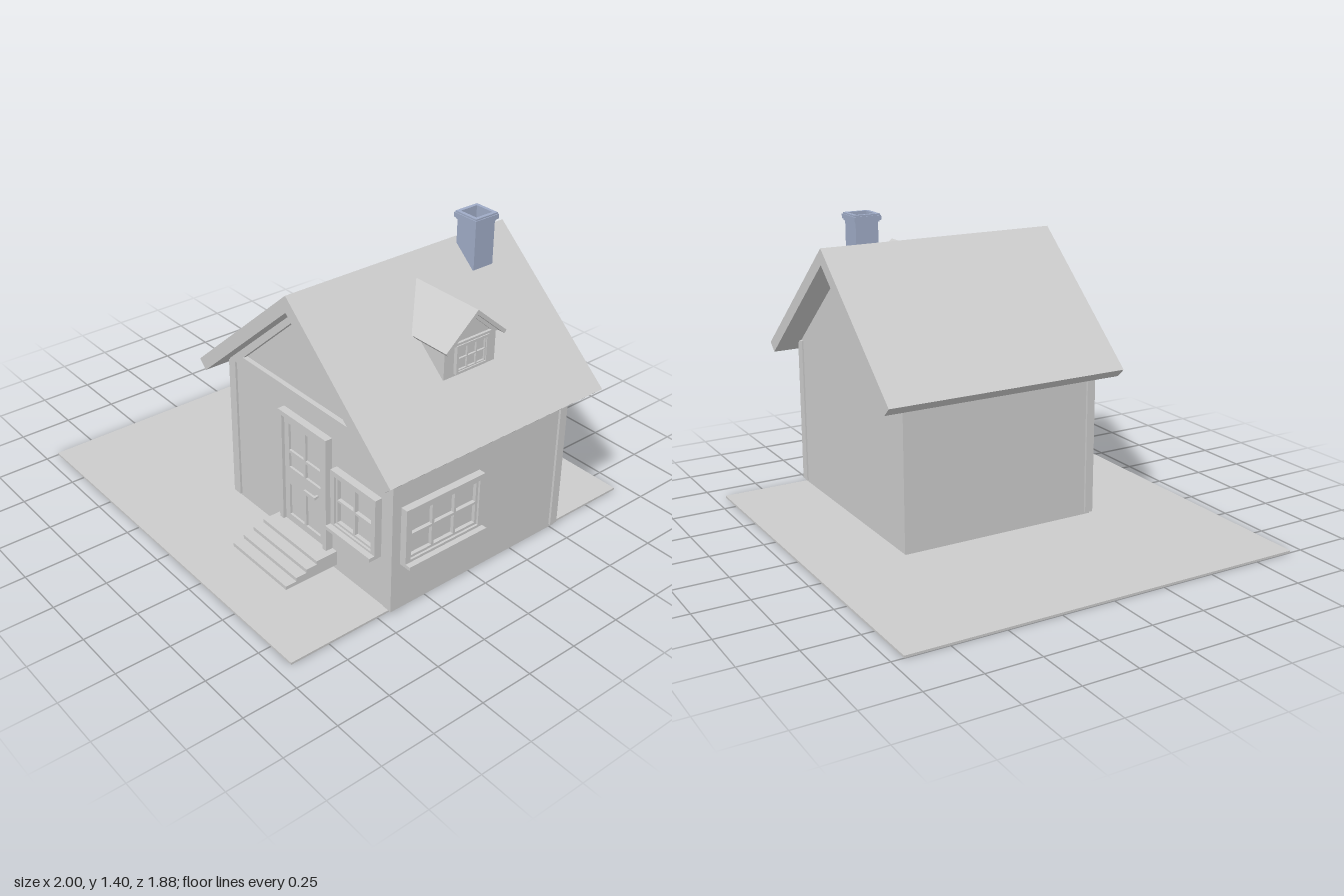
import * as THREE from 'three';

const grey = new THREE.MeshStandardMaterial({ color: 0xcccccc, flatShading: true });
const brick = new THREE.MeshStandardMaterial({ color: 0x9fabc6, flatShading: true });

function add(parent, name, geometry, material = grey) {
  const mesh = new THREE.Mesh(geometry, material);
  mesh.name = name;
  parent.add(mesh);
  return mesh;
}

// Box given by its limits on each axis
function box(parent, name, [x0, x1], [y0, y1], [z0, z1], material) {
  const g = new THREE.BoxGeometry(x1 - x0, y1 - y0, z1 - z0);
  g.translate((x0 + x1) / 2, (y0 + y1) / 2, (z0 + z1) / 2);
  return add(parent, name, g, material);
}

const toPoints = (list) => list.map(([x, y]) => new THREE.Vector2(x, y));
const rect = (x0, x1, y0, y1) => [[x0, y0], [x1, y0], [x1, y1], [x0, y1]];

// Outline with optional holes, extruded from z0 to z1
function prism(parent, name, outline, z0, z1, holes = [], material) {
  const shape = new THREE.Shape(toPoints(outline));
  for (const h of holes) shape.holes.push(new THREE.Path(toPoints(h)));
  const g = new THREE.ExtrudeGeometry(shape, { depth: z1 - z0, bevelEnabled: false });
  g.translate(0, 0, z0);
  return add(parent, name, g, material);
}

// Symmetric outline about x = cx from its right half, listed bottom to top
function mirrored(cx, half) {
  const right = half.map(([x, y]) => [cx + x, y]);
  const left = half.filter(([x]) => x > 0).map(([x, y]) => [cx - x, y]).reverse();
  return [...right, ...left];
}

// Framed window facing +z, centred on its own origin
function makeWindow(name, w, h, cols, rows, trim, depth, sill) {
  const win = new THREE.Group();
  win.name = name;
  const a = w / 2, b = h / 2, iw = a - trim, ih = b - trim;
  prism(win, 'windowFrame', rect(-a, a, -b, b), 0, depth, [rect(-iw, iw, -ih, ih)]);
  // Sash: one panel with a hole for each pane
  const bar = trim * 0.45, holes = [];
  const pw = (2 * iw - bar * (cols + 1)) / cols, ph = (2 * ih - bar * (rows + 1)) / rows;
  for (let i = 0; i < cols; i++) {
    for (let j = 0; j < rows; j++) {
      const x = -iw + bar + i * (pw + bar), y = -ih + bar + j * (ph + bar);
      holes.push(rect(x, x + pw, y, y + ph));
    }
  }
  prism(win, 'windowSash', rect(-iw, iw, -ih, ih), 0, depth * 0.7, holes);
  box(win, 'windowGlass', [-iw, iw], [-ih, ih], [-0.01, depth * 0.2]);
  if (sill) box(win, 'windowSill', [-a, a], [-b - 0.003, -b + 0.014], [0, sill]);
  return win;
}

export function createModel() {
  const house = new THREE.Group();
  house.name = 'house';
  const cx = 0.353;

  box(house, 'ground', [-1, 0.885], [0, 0.01], [-0.945, 0.94]);

  // Walls with gabled ends, and corner posts
  prism(house, 'walls', mirrored(cx, [[0.543, 0.005], [0.543, 0.74], [0, 1.215]]), -0.522, 0.44);
  for (const side of [-1, 1]) {
    for (const [z0, z1] of [[-0.53, -0.49], [0.41, 0.45]]) {
      const x = [cx + side * 0.554, cx + side * 0.507].sort((p, q) => p - q);
      box(house, 'cornerPost', x, [0.02, 0.732], [z0, z1]);
    }
  }

  // Main roof and the triangular trim of the front gable
  prism(house, 'roof', mirrored(cx, [[0, 1.2], [0.6, 0.673], [0.642, 0.713], [0, 1.275]]).filter(
    ([x, y], i, all) => all.findIndex((p) => p[0] === x && p[1] === y) === i), -0.637, 0.543);
  prism(house, 'gableTrim', mirrored(cx, [[0.53, 0.737], [0, 1.205]]), 0.43, 0.463,
    [mirrored(cx, [[0.425, 0.783], [0, 1.163]])]);

  // Door with recessed panels, frame and handle
  const door = new THREE.Group();
  door.name = 'door';
  house.add(door);
  prism(door, 'doorFrame', [[0.19, 0.1], [0.215, 0.1], [0.215, 0.638], [0.49, 0.638],
    [0.49, 0.1], [0.515, 0.1], [0.515, 0.66], [0.19, 0.66]], 0.435, 0.475);
  const panels = [];
  for (const [x0, x1] of [[0.245, 0.345], [0.36, 0.46]]) {
    for (const [y0, y1] of [[0.14, 0.3], [0.387, 0.46], [0.474, 0.605]]) panels.push(rect(x0, x1, y0, y1));
  }
  prism(door, 'doorLeaf', rect(0.215, 0.49, 0.1, 0.638), 0.435, 0.46, panels);
  box(door, 'doorPanelBack', [0.22, 0.485], [0.105, 0.63], [0.43, 0.449]);
  box(door, 'doorHandle', [0.375, 0.45], [0.334, 0.346], [0.474, 0.484]);
  box(door, 'handleStem', [0.435, 0.447], [0.335, 0.345], [0.455, 0.476]);

  // Entrance steps
  for (let i = 0; i < 4; i++) {
    const y = 0.035 + i * 0.0175;
    box(house, 'step', [0.165, 0.545], [y, y + 0.0175], [0.44, 0.71 - i * 0.054]);
  }

  // Windows of the front and the side wall
  const front = makeWindow('frontWindow', 0.285, 0.285, 2, 2, 0.024, 0.035, 0.062);
  front.position.set(0.688, 0.397, 0.44);
  const sideWin = makeWindow('sideWindow', 0.425, 0.275, 3, 2, 0.026, 0.034, 0.06);
  sideWin.position.set(0.896, 0.373, 0.183);
  sideWin.rotation.y = Math.PI / 2;
  house.add(front, sideWin);

  // Dormer, built facing +z and turned towards +x
  const dormer = new THREE.Group();
  dormer.name = 'dormer';
  dormer.position.z = -0.063;
  dormer.rotation.y = Math.PI / 2;
  house.add(dormer);
  prism(dormer, 'dormerWalls', mirrored(0, [[0.14, 0.914], [0.14, 1.06], [0, 1.18]]), 0.5, 0.77);
  prism(dormer, 'dormerRoof', [[0, 1.2], [-0.165, 1.057], [-0.155, 1.044], [0, 1.178],
    [0.155, 1.044], [0.165, 1.057]], 0.44, 0.805);
  prism(dormer, 'dormerGableTrim', mirrored(0, [[0.142, 1.055], [0, 1.18]]), 0.765, 0.782,
    [mirrored(0, [[0.105, 1.067], [0, 1.16]])]);
  const small = makeWindow('dormerWindow', 0.175, 0.13, 3, 2, 0.011, 0.018, 0);
  small.position.set(0, 0.992, 0.769);
  dormer.add(small);

  // Hollow chimney with a stepped cap, extruded upwards
  const chimney = new THREE.Group();
  chimney.name = 'chimney';
  chimney.position.set(0.43, 0, -0.399);
  chimney.rotation.x = -Math.PI / 2;
  house.add(chimney);
  const square = (r) => rect(-r, r, -r, r);
  prism(chimney, 'chimneyShaft', square(0.055), 1.165, 1.37, [square(0.046)], brick);
  prism(chimney, 'chimneyCapNeck', square(0.06), 1.366, 1.374, [square(0.046)], brick);
  prism(chimney, 'chimneyCap', square(0.066), 1.374, 1.395, [square(0.046)], brick);
  prism(chimney, 'chimneyCapTop', square(0.062), 1.395, 1.402, [square(0.046)], brick);
  prism(chimney, 'chimneyFloor', square(0.047), 1.17, 1.25, [], brick);

  return house;
}
